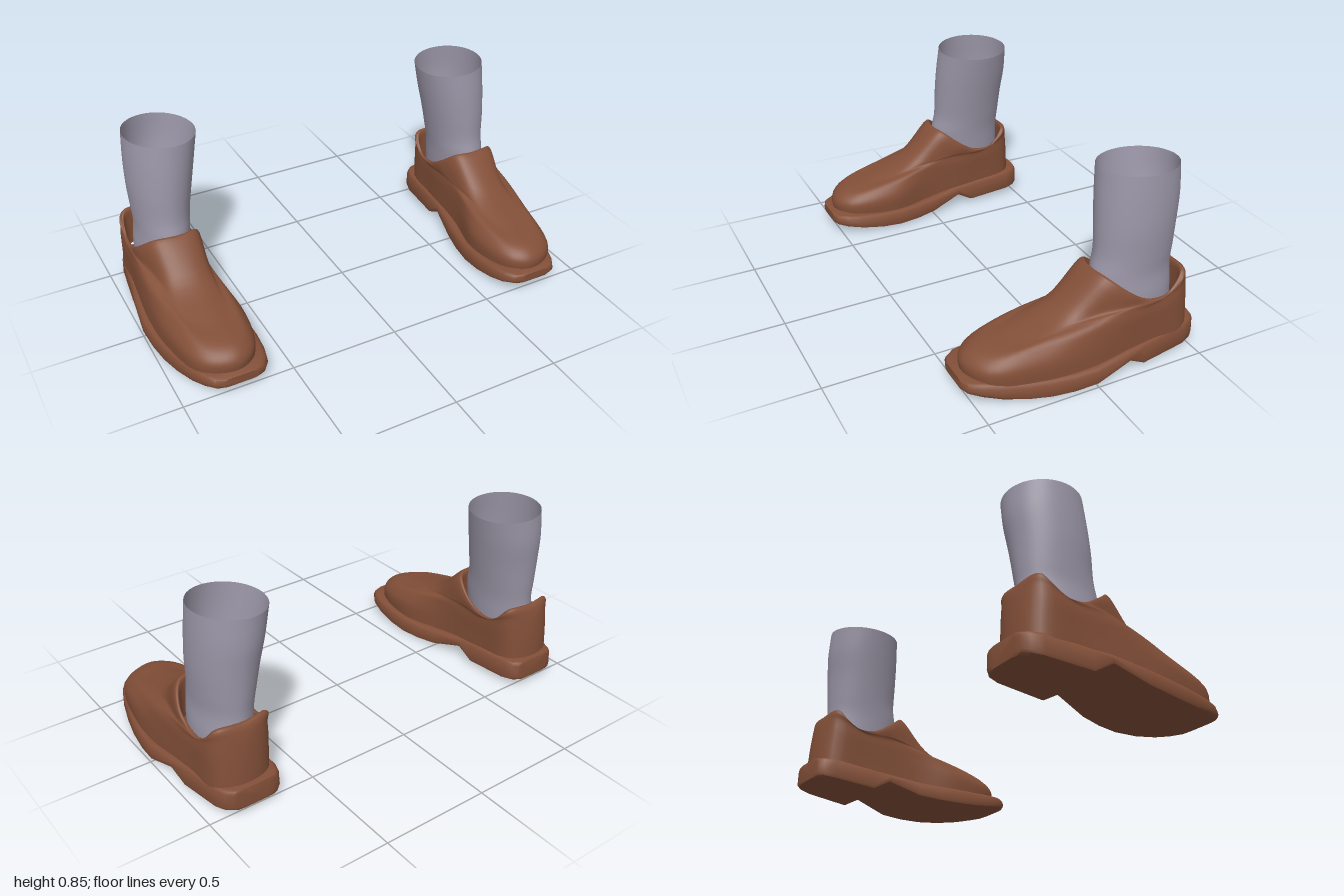
import * as THREE from 'three';
import { toCreasedNormals } from 'three/addons/utils/BufferGeometryUtils.js';

const leather = new THREE.MeshStandardMaterial({ color: 0x824f38 });
leather.name = 'brown leather';
const wool = new THREE.MeshStandardMaterial({ color: 0x9a95a6, side: THREE.DoubleSide });
wool.name = 'grey wool';

const { lerp } = THREE.MathUtils;

// Skin closed rings of equal point count; side = -1 mirrors across x
function skin(rings, side, capped = false) {
  const n = rings[0].length, pos = [], idx = [];
  const tri = (a, b, c) => (side > 0 ? idx.push(a, b, c) : idx.push(a, c, b));
  rings.forEach(r => r.forEach(p => pos.push(p.x * side, p.y, p.z)));
  for (let j = 0; j < rings.length - 1; j++) {
    for (let i = 0; i < n; i++) {
      const a = j * n + i, b = j * n + (i + 1) % n;
      tri(a, b, a + n);
      tri(b, b + n, a + n);
    }
  }
  if (capped) {
    const last = (rings.length - 1) * n;
    for (let i = 1; i < n - 1; i++) {
      tri(0, i + 1, i);
      tri(last, last + i, last + i + 1);
    }
  }
  const geo = new THREE.BufferGeometry();
  geo.setAttribute('position', new THREE.Float32BufferAttribute(pos, 3));
  geo.setIndex(idx);
  geo.computeVertexNormals();
  return geo;
}

// Smooth a set of control loops both around and upward
function smoothLoops(loops, around, up) {
  const curves = loops.map(l => new THREE.CatmullRomCurve3(l, true));
  const columns = [];
  for (let i = 0; i < around; i++) {
    const column = new THREE.CatmullRomCurve3(curves.map(c => c.getPoint(i / around)));
    columns.push(column.getPoints(up));
  }
  return Array.from({ length: up + 1 }, (_, j) => columns.map(c => c[j]));
}

// One upper loop: toe, outer side, heel, inner side.
// Each side is given by its x at the forefoot, waist and rear.
function upperLoop([zf, zb, yf, ym, yb], inner, outer) {
  const toeX = (inner[0] + outer[0]) / 2 - .03;
  const heelX = (inner[2] + outer[2]) / 2;
  const point = (x, y, t) => new THREE.Vector3(x, y, lerp(zf, zb, t));
  const flank = ([fore, waist, rear]) => [
    point(lerp(toeX, fore, .68), lerp(yf, ym, .06), .06),
    point(fore, lerp(yf, ym, .6), .28),
    point(waist, ym, .5),
    point(rear, ym, .76),
    point(lerp(heelX, rear, .84), yb, .955),
  ];
  return [point(toeX, yf, 0), ...flank(outer), point(heelX, yb, 1), ...flank(inner).reverse()];
}

// Upper from the sole to the collar: toe z, heel z, then y at toe, waist and heel
const upperLoops = [
  upperLoop([.497, -.505, .07, .065, .11], [.605, .65, .665], [.955, .97, .95]),
  upperLoop([.5, -.5, .14, .17, .2], [.605, .65, .66], [.95, .965, .95]),
  upperLoop([.455, -.492, .185, .245, .28], [.635, .655, .655], [.92, .955, .95]),
  upperLoop([.3, -.482, .222, .285, .34], [.67, .66, .655], [.9, .945, .945]),
  upperLoop([.1, -.472, .29, .302, .37], [.66, .65, .65], [.915, .945, .945]),
  upperLoop([-.06, -.46, .43, .31, .385], [.652, .652, .655], [.935, .94, .938]),
];

// Rolled lip and inner lining, shrunk from the collar
const collar = upperLoops[5];
for (const [scale, drop] of [[.93, 0], [.9, .06], [.9, .18]]) {
  upperLoops.push(collar.map(p => new THREE.Vector3(
    .8 + (p.x - .8) * scale, p.y - drop, -.27 + (p.z + .27) * scale)));
}

// Sole stations from toe to heel: z, inner x, outer x, bottom y, top y
const soleStations = [
  [.53, .67, .83, .055, .095], [.515, .635, .865, .05, .098], [.47, .605, .895, .04, .1],
  [.4, .588, .925, .025, .095], [.3, .578, .955, .01, .088], [.2, .577, .978, .003, .085],
  [.1, .59, .993, .004, .085], [0, .61, 1, .012, .09], [-.16, .64, .985, .06, .11],
  [-.24, .645, .97, .012, .115], [-.45, .65, .945, .025, .13], [-.5, .665, .925, .03, .13],
  [-.525, .69, .9, .035, .13], [-.53, .72, .87, .037, .13],
];
const soleRings = soleStations.map(([z, xi, xo, bottom, top]) => {
  const half = [[.02, bottom], [.004, bottom + .008], [0, bottom + .02],
    [.003, top - .016], [.012, top - .004], [.025, top]];
  return [
    ...half.map(([inset, y]) => new THREE.Vector3(xi + inset, y, z)),
    ...half.reverse().map(([inset, y]) => new THREE.Vector3(xo - inset, y, z)),
  ];
});

// Sock rings: y, inner x, outer x, back z, front z, rise toward the outer side
const sockLoops = [
  [.14, .69, .91, -.445, -.12, 0], [.3, .675, .915, -.445, -.085, 0], [.4, .667, .905, -.442, -.078, 0],
  [.48, .655, .908, -.448, -.095, 0], [.6, .632, .914, -.457, -.1, 0], [.72, .608, .912, -.468, -.107, .005],
  [.842, .585, .905, -.465, -.12, .012],
].map(([y, xi, xo, zb, zf, rise]) => Array.from({ length: 12 }, (_, i) => {
  const a = i / 12 * Math.PI * 2;
  return new THREE.Vector3((xi + xo) / 2 + Math.sin(a) * (xo - xi) / 2, y + Math.sin(a) * rise,
    (zb + zf) / 2 + Math.cos(a) * (zf - zb) / 2);
}));

const upperRings = smoothLoops(upperLoops, 72, 48);
const sockRings = smoothLoops(sockLoops, 48, 24);

function makeFoot(side) {
  const foot = new THREE.Group();
  foot.name = side > 0 ? 'leftFoot' : 'rightFoot';
  const add = (name, geo, mat) => {
    const mesh = new THREE.Mesh(geo, mat);
    mesh.name = name;
    foot.add(mesh);
  };
  add('shoeUpper', skin(upperRings, side), leather);
  add('shoeSole', toCreasedNormals(skin(soleRings, side, true), .75), leather);
  add('sock', skin(sockRings, side), wool);
  return foot;
}

export function createModel() {
  const model = new THREE.Group();
  model.name = 'shoesAndSocks';
  model.add(makeFoot(1), makeFoot(-1));
  return model;
}
